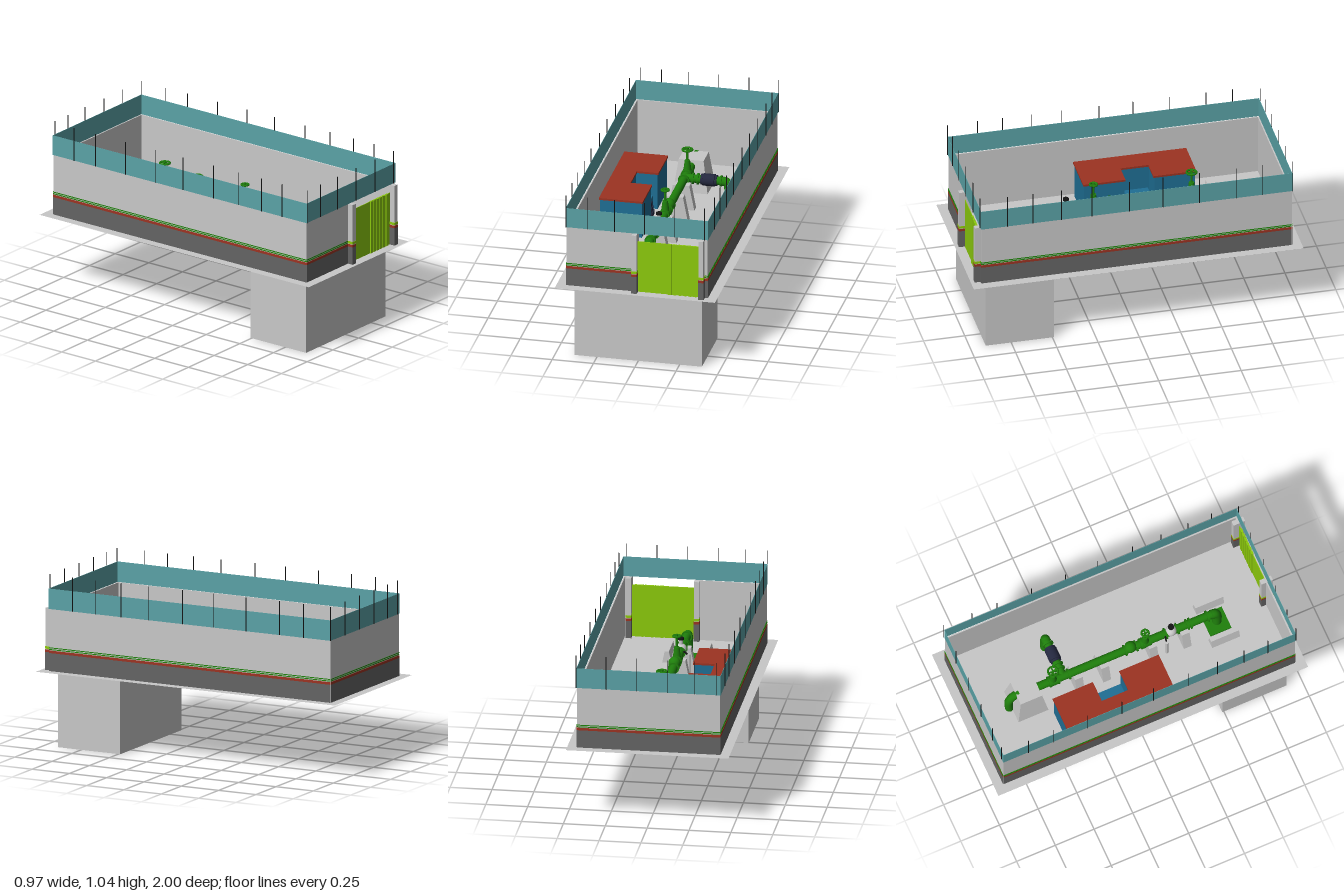
import * as THREE from 'three';

const mat = (name, color, side = THREE.FrontSide) => {
  const m = new THREE.MeshStandardMaterial({ color, side });
  m.name = name;
  return m;
};

export function createModel() {
  const root = new THREE.Group();
  root.name = 'pumpingStation';
  const concrete = mat('concrete', 0xc8c8c8, THREE.DoubleSide);
  const plinth = mat('darkPlinth', 0x646464);
  const red = mat('brickRed', 0x9c3322);
  const lime = mat('limeGate', 0x8cca0c);
  const green = mat('pipeGreen', 0x1f800c);
  const teal = mat('fenceTeal', 0x5aa2a6, THREE.DoubleSide);
  const blue = mat('houseBlue', 0x1f6f95);
  const navy = mat('valveNavy', 0x24283f);
  const black = mat('black', 0x141414);

  const G = 0.465, TOP = 0.84, AX = -0.005, AY = 0.625, R = 0.025;

  const add = (name, geo, m, x = 0, y = 0, z = 0, parent = root) => {
    const mesh = new THREE.Mesh(geo, m);
    mesh.name = name;
    mesh.position.set(x, y, z);
    parent.add(mesh);
    return mesh;
  };
  // box given by its limits
  const box = (name, m, x0, x1, y0, y1, z0, z1) =>
    add(name, new THREE.BoxGeometry(x1 - x0, y1 - y0, z1 - z0), m, (x0 + x1) / 2, (y0 + y1) / 2, (z0 + z1) / 2);
  // cylinder along a chosen axis
  const cyl = (name, m, r, len, axis, x, y, z, r2 = r) => {
    const g = new THREE.CylinderGeometry(r2, r, len, 20);
    if (axis === 'z') g.rotateX(Math.PI / 2);
    if (axis === 'x') g.rotateZ(-Math.PI / 2);
    return add(name, g, m, x, y, z);
  };
  const tube = (name, m, pts, r) => add(name, new THREE.TubeGeometry(
    new THREE.CatmullRomCurve3(pts.map(p => new THREE.Vector3(...p))), 24, r, 16), m);
  // prism with a trapezoid cross-section in x, running along z
  const trapezoid = (name, m, x, z, wBottom, wTop, y0, y1, depth) => {
    const s = new THREE.Shape([[-wBottom, y0], [wBottom, y0], [wTop, y1], [-wTop, y1]]
      .map(([a, b]) => new THREE.Vector2(a / 2, b)));
    const g = new THREE.ExtrudeGeometry(s, { depth, bevelEnabled: false });
    return add(name, g, m, x, 0, z - depth / 2);
  };

  // ground sheet and underground chamber
  const ground = new THREE.PlaneGeometry(0.97, 2);
  ground.rotateX(-Math.PI / 2);
  add('groundSlab', ground, concrete, 0, G, 0);
  box('undergroundChamber', concrete, -0.385, 0.385, 0, G - 0.002, 0.49, 0.905);

  // perimeter walls, each with plinth and painted stripes on its outer face
  const stripes = [['plinth', plinth, G, 0.574], ['redStripe', red, 0.574, 0.589],
    ['lowerGreenStripe', green, 0.593, 0.598], ['upperGreenStripe', green, 0.603, 0.608]];
  const wall = (name, x0, x1, z0, z1, ox, oz) => {
    box(name, concrete, x0, x1, G, TOP, z0, z1);
    for (const [n, m, y0, y1] of stripes) {
      const t = 0.003;
      box(name + '_' + n, m,
        ox > 0 ? x1 : ox < 0 ? x0 - t : x0, ox > 0 ? x1 + t : ox < 0 ? x0 : x1, y0, y1,
        oz > 0 ? z1 : oz < 0 ? z0 - t : z0, oz > 0 ? z1 + t : oz < 0 ? z0 : z1);
    }
  };
  wall('rightWall', 0.419, 0.427, -0.94, 0.94, 1, 0);
  wall('leftWall', -0.427, -0.419, -0.94, 0.94, -1, 0);
  wall('backWall', -0.427, 0.427, -0.942, -0.934, 0, -1);
  wall('frontWallLong', -0.427, -0.02, 0.932, 0.94, 0, 1);
  wall('frontWallStub', 0.4, 0.427, 0.932, 0.94, 0, 1);

  // gate pillars
  for (const x of [-0.011, 0.394]) {
    box('gatePillar', concrete, x - 0.015, x + 0.015, G, TOP, 0.902, 0.976);
    box('pillarPlinth', plinth, x - 0.017, x + 0.017, G, 0.574, 0.9, 0.978);
    box('pillarRedBand', red, x - 0.017, x + 0.017, 0.574, 0.589, 0.9, 0.978);
    box('pillarLimeBand', lime, x - 0.017, x + 0.017, 0.593, 0.608, 0.9, 0.978);
  }

  // sliding gate with a ribbed leaf
  box('gatePanel', lime, 0.005, 0.38, G, 0.79, 0.938, 0.942);
  for (let i = 0; i < 6; i++) {
    const x = 0.2 + i * 0.03;
    box('gateRib', lime, x - 0.011, x + 0.011, G, 0.79, 0.934, 0.947);
  }

  // fence sheets above the walls
  for (const s of [-1, 1]) {
    box('sideFence', teal, s * 0.43 - 0.001, s * 0.43 + 0.001, TOP, 0.963, -0.943, 0.943);
    box('endFence', teal, -0.43, 0.43, TOP, 0.963, s * 0.943 - 0.001, s * 0.943 + 0.001);
  }
  // fence posts
  const post = (x, z) => box('fencePost', black, x - 0.002, x + 0.002, TOP, 1.045, z - 0.002, z + 0.002);
  for (const x of [-0.428, -0.3, -0.135, 0.047, 0.23, 0.41]) {
    post(x, 0.946);
    post(x + 0.023, -0.946);
  }
  for (const z of [0.783, 0.63, 0.457, 0.272, 0.045, -0.16, -0.38, -0.603, -0.764]) {
    post(0.433, z);
    post(-0.433, z - 0.02);
  }

  // control house: C-shaped walls and overhanging roof
  const cShape = (i) => new THREE.Shape([[-0.4 + i, -0.495 + i], [-0.135 - i, -0.495 + i],
    [-0.135 - i, -0.235 - i], [-0.265 - i, -0.235 - i], [-0.265 - i, -0.065 + i],
    [-0.135 - i, -0.065 + i], [-0.135 - i, 0.19 - i], [-0.4 + i, 0.19 - i]]
    .map(([x, z]) => new THREE.Vector2(x, -z)));
  const slab = (name, m, inset, y, h) => {
    const g = new THREE.ExtrudeGeometry(cShape(inset), { depth: h, bevelEnabled: false });
    g.rotateX(-Math.PI / 2);
    add(name, g, m, 0, y, 0);
  };
  slab('houseWalls', blue, 0.006, G, 0.223);
  slab('houseRoof', red, 0, 0.688, 0.012);
  box('entrancePorch', blue, -0.24, -0.165, G, 0.56, -0.225, -0.07);
  box('entranceBlock', blue, -0.27, -0.235, G, 0.54, -0.212, -0.085);
  for (let i = 0; i < 3; i++)
    box('entranceStep', navy, -0.165, -0.145 - i * 0.007, G + i * 0.025, G + 0.025 + i * 0.025, -0.18, -0.12);

  // main pipe with elbow into the chamber
  cyl('mainPipe', green, R, 1.15, 'z', AX, AY, 0.025);
  tube('frontElbow', green, [[AX, AY, 0.58], [AX, AY - 0.008, 0.61], [AX, AY - 0.04, 0.622], [AX, G - 0.02, 0.622]], R + 0.003);
  box('chamberCover', green, AX - 0.073, AX + 0.07, G, G + 0.012, 0.55, 0.685);
  for (const s of [-1, 1])
    trapezoid('coverKerb', concrete, AX + s * 0.115, 0.62, 0.055, 0.025, G, G + 0.07, 0.18);

  // pipe flanges
  for (const z of [0.56, 0.45, 0.43, 0.365, 0.29, 0.145, 0.13, 0.1, 0.03, -0.335, -0.405, -0.46])
    cyl('pipeFlange', green, 0.034, 0.01, 'z', AX, AY, z);

  // concrete saddles
  for (const z of [0.4, 0.19, -0.12, -0.29]) {
    trapezoid('pipeSaddle', concrete, AX, z, 0.16, 0.1, G, AY - 0.005, 0.05);
    box('saddleFooting', concrete, AX - 0.08, AX + 0.08, 0.44, G, z - 0.026, z + 0.026);
  }

  // anchor block and the outgoing pipe
  const block = new THREE.CylinderGeometry(0.075 * Math.SQRT2, 0.105 * Math.SQRT2, 0.2, 4).toNonIndexed();
  block.rotateY(Math.PI / 4);
  block.scale(1, 1, 0.92);
  block.computeVertexNormals();
  add('anchorBlock', block, concrete, AX, G + 0.1, -0.607);
  tube('outgoingPipe', green, [[AX, 0.645, -0.65], [AX, 0.635, -0.69], [AX, 0.59, -0.718], [AX, 0.5, -0.72], [AX, 0.435, -0.713]], R);
  cyl('outgoingPipeEnd', green, R - 0.001, 0.02, 'y', AX, 0.432, -0.713);

  // side branch with a dark check valve
  cyl('branchPipe', green, R, 0.26, 'x', 0.12, AY, -0.37);
  tube('branchElbow', green, [[0.225, AY, -0.37], [0.25, AY - 0.007, -0.37], [0.26, AY - 0.035, -0.37], [0.26, G, -0.37]], R + 0.003);
  cyl('checkValveBody', navy, 0.037, 0.07, 'x', 0.142, AY, -0.37);
  for (const x of [0.1, 0.185]) cyl('checkValveFlange', navy, 0.033, 0.012, 'x', x, AY, -0.37);
  for (const x of [0.045, 0.075, 0.215]) cyl('branchFlange', green, 0.034, 0.01, 'x', x, AY, -0.37);

  // gate valves with handwheels
  const handValve = (z, top, r) => {
    cyl('valveBody', green, 0.032, 0.06, 'z', AX, AY, z);
    cyl('valveBonnet', green, 0.026, 0.08, 'y', AX, AY + 0.045, z, 0.016);
    cyl('valveStem', green, 0.007, top - AY, 'y', AX, (top + AY) / 2, z);
    const wheel = add('handwheel', new THREE.TorusGeometry(r, 0.006, 8, 20), green, AX, top - 0.012, z);
    wheel.rotation.x = Math.PI / 2;
    for (const a of [0, Math.PI / 2]) {
      const spoke = add('wheelSpoke', new THREE.BoxGeometry(2 * r, 0.006, 0.008), green, AX, top - 0.012, z);
      spoke.rotation.y = a;
    }
  };
  handValve(-0.435, 0.79, 0.03);
  handValve(0.16, 0.79, 0.022);
  add('strainerDome', new THREE.SphereGeometry(0.036, 20, 14), green, AX, AY + 0.02, 0.065);

  // flow meter and probe reaching below the slab
  add('flowMeterBody', new THREE.SphereGeometry(0.034, 20, 14), concrete, AX, AY + 0.01, 0.327);
  cyl('flowMeterNeck', concrete, 0.012, 0.05, 'y', AX, AY + 0.045, 0.327);
  cyl('flowMeterCap', black, 0.018, 0.012, 'y', AX, AY + 0.075, 0.327);
  tube('probeArm', black, [[AX, AY, 0.29], [-0.03, AY + 0.01, 0.28], [-0.06, AY - 0.01, 0.275]], 0.005);
  cyl('probeRod', concrete, 0.01, 0.215, 'y', -0.06, 0.5175, 0.275);
  cyl('probeTip', black, 0.004, 0.035, 'y', -0.06, 0.395, 0.275);

  return root;
}
